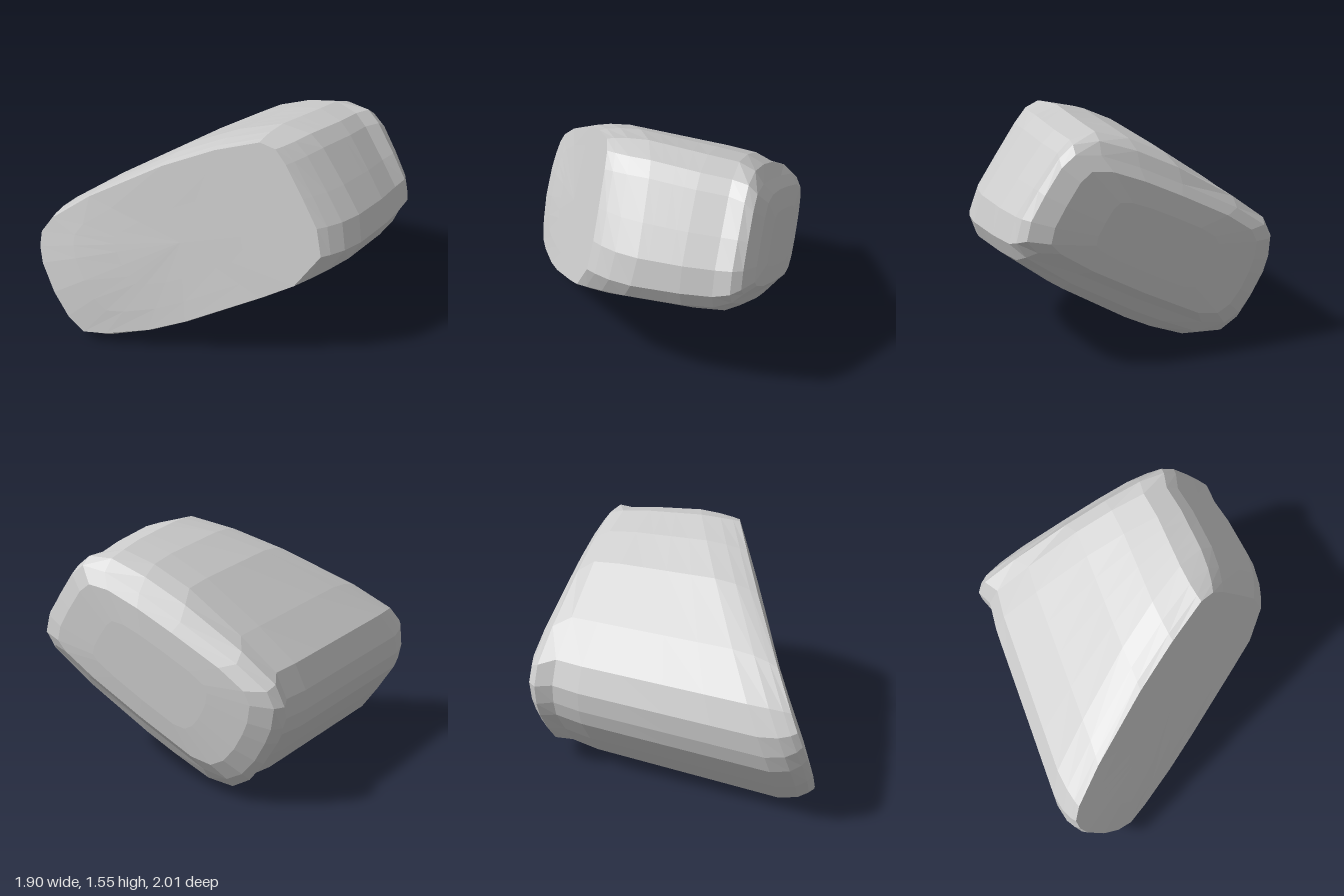
import * as THREE from 'three';

// Broad tilted outline of the boulder (x, y), counter-clockwise from the front
const OUTER = [
  [-0.95, 0.7], [-0.95, 0.56], [-0.92, 0.44], [-0.8, 0.25], [-0.69, 0.09],
  [-0.55, 0], [-0.36, 0], [-0.1, 0.1], [0.1, 0.2], [0.57, 0.48],
  [0.9, 0.73], [0.95, 0.85], [0.9, 1.03], [0.77, 1.21], [0.6, 1.43],
  [0.51, 1.51], [0.33, 1.55], [0.08, 1.48], [-0.2, 1.35], [-0.6, 1.08], [-0.87, 0.87],
];
// Matching outline of the slanted front face
const FACE = [
  [-0.88, 0.74], [-0.87, 0.64], [-0.83, 0.53], [-0.72, 0.34], [-0.61, 0.18],
  [-0.5, 0.08], [-0.36, 0.09], [-0.1, 0.16], [0.12, 0.26], [0.55, 0.51],
  [0.74, 0.63], [0.86, 0.85], [0.8, 1.03], [0.68, 1.21], [0.54, 1.41],
  [0.46, 1.5], [0.36, 1.53], [0.1, 1.44], [-0.2, 1.29], [-0.62, 1.02], [-0.83, 0.84],
];
// Matching outline of the narrower back face
const BACK = [
  [-0.86, 0.7], [-0.84, 0.56], [-0.8, 0.46], [-0.73, 0.33], [-0.64, 0.22],
  [-0.53, 0.16], [-0.36, 0.19], [-0.1, 0.32], [0.1, 0.42], [0.52, 0.65],
  [0.78, 0.82], [0.85, 0.9], [0.82, 1.02], [0.73, 1.17], [0.62, 1.33],
  [0.53, 1.4], [0.36, 1.38], [0.1, 1.28], [-0.2, 1.14], [-0.6, 0.94], [-0.81, 0.8],
];
const N = OUTER.length;
const lerp = THREE.MathUtils.lerp;

// Depth of the slanted cut, swelling slightly at its low left tip
function cutDepth(x, y) {
  const d = (x + 0.7) ** 2 + (y - 0.4) ** 2;
  return 0.715 - 0.459 * x - 0.29 * y + 0.06 * Math.exp(-4 * d);
}

// Outline scaled about a pivot, at a fixed depth
const flatRing = (outline, scale, z, px = 0, py = 0.78) => outline.map(([x, y]) => [
  px + (x - px) * scale, py + (y - py) * scale, z,
]);

// Outline following the cut: t blends to the face, inset lies behind it
const cutRing = (t, inset, scale = 1) => OUTER.map(([ox, oy], i) => {
  const x = lerp(ox, FACE[i][0], t) * scale;
  const y = 0.8 + (lerp(oy, FACE[i][1], t) - 0.8) * scale;
  return [x, y, cutDepth(x, y) - inset];
});

const mixRing = (a, b, t) => a.map((p, i) => p.map((v, k) => lerp(v, b[i][k], t)));

// Skin over rings from back to front; the first and last are single points
function loft(rings) {
  const index = [];
  const last = rings.length - 2;
  for (let r = 0; r <= last; r++) {
    for (let j = 0; j < N; j++) {
      const a = r * N + j, b = r * N + (j + 1) % N;
      if (r > 0) index.push(a, b, b + N);
      if (r < last) index.push(a, b + N, a + N);
    }
  }
  const geometry = new THREE.BufferGeometry();
  geometry.setAttribute('position', new THREE.Float32BufferAttribute(rings.flat(2), 3));
  geometry.setIndex(index);
  geometry.computeVertexNormals();
  return geometry;
}

export function createModel() {
  const group = new THREE.Group();
  group.name = 'boulder';

  // Back edge, back shoulder and front shoulder
  const edge = flatRing(BACK, 1, -0.93);
  const back = flatRing(OUTER, 0.957, -0.56, 0.55);
  const front = cutRing(0, 0.28);
  const rings = [
    // Gently domed back
    flatRing(BACK, 0, -1),
    flatRing(BACK, 0.5, -1),
    flatRing(BACK, 0.84, -0.985),
    edge,
    // Rounded back rim
    flatRing(mixRing(BACK, OUTER, 0.45), 1, -0.87),
    flatRing(OUTER, 0.925, -0.76, 0.3),
    back,
    // Body
    mixRing(back, front, 0.25),
    mixRing(back, front, 0.5),
    mixRing(back, front, 0.75),
    front,
    // Rounded front rim
    cutRing(0.25, 0.14),
    cutRing(0.65, 0.05),
    cutRing(1, 0),
    // Slanted front face
    cutRing(1, 0, 0.75),
    cutRing(1, 0, 0.45),
    cutRing(1, 0, 0),
  ];

  const material = new THREE.MeshStandardMaterial({ color: 0xcccccc, flatShading: true });
  const rock = new THREE.Mesh(loft(rings), material);
  rock.name = 'rock';
  group.add(rock);
  return group;
}
